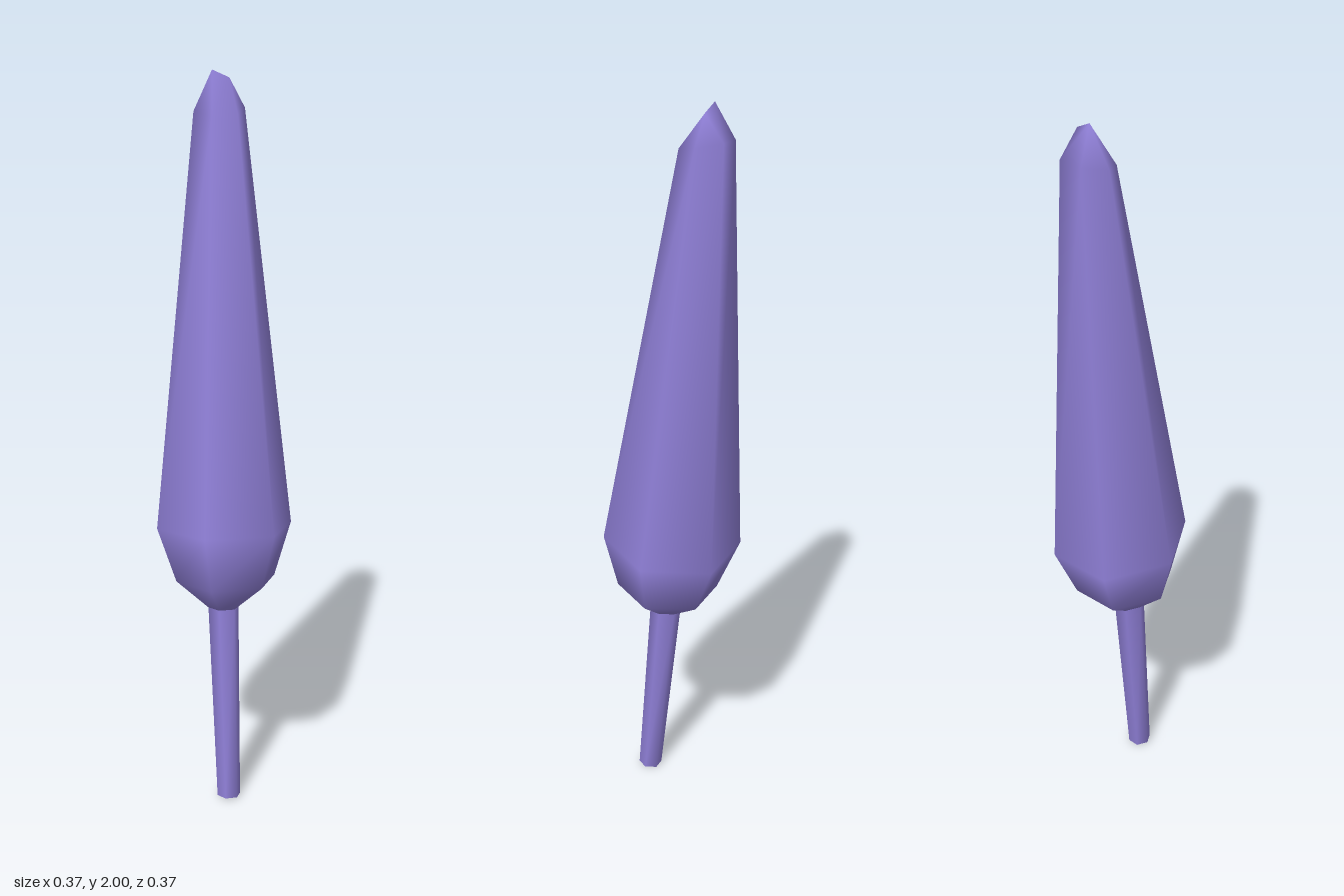
import * as THREE from 'three';
import { mergeVertices } from 'three/addons/utils/BufferGeometryUtils.js';

const SIDES = 6;
const START = -Math.PI / 12;

// Six-sided ring around (x, y, z); tilt raises y with distance in z
function ring(x, y, z, r, tilt = 0) {
  return Array.from({ length: SIDES }, (_, j) => {
    const a = START + (j * Math.PI * 2) / SIDES;
    const dz = r * Math.sin(a);
    return new THREE.Vector3(x + r * Math.cos(a), y + tilt * dz, z + dz);
  });
}

// Skin between successive rings, skipping collapsed triangles, with smooth normals
function loft(rings) {
  const pos = [];
  const tri = (a, b, c) => {
    if (a.equals(b) || b.equals(c) || a.equals(c)) return;
    for (const p of [a, b, c]) pos.push(p.x, p.y, p.z);
  };
  for (let i = 0; i < rings.length - 1; i++) {
    for (let j = 0; j < SIDES; j++) {
      const k = (j + 1) % SIDES;
      const [lo, hi] = [rings[i], rings[i + 1]];
      tri(lo[j], hi[j], lo[k]);
      tri(lo[k], hi[j], hi[k]);
    }
  }
  const g = new THREE.BufferGeometry();
  g.setAttribute('position', new THREE.Float32BufferAttribute(pos, 3));
  const merged = mergeVertices(g);
  merged.computeVertexNormals();
  return merged;
}

export function createModel() {
  const group = new THREE.Group();
  const material = new THREE.MeshStandardMaterial({ color: 0x9080d8 });
  const add = (name, geometry) => {
    const mesh = new THREE.Mesh(geometry, material);
    mesh.name = name;
    group.add(mesh);
  };

  const foot = ring(0.013, 0.003, 0.077, 0.033, 0.08);
  const neck = ring(-0.003, 0.56, 0.028, 0.043, 0.1);

  // Slender leaning stem with a flat end
  add('stem', loft([foot, neck]));
  const centre = new THREE.Vector3(0.013, 0.003, 0.077);
  add('stemEnd', loft([foot.map(() => centre), foot]));

  // Tapered crown closing in a short ridge
  const left = new THREE.Vector3(0.01, 1.98, -0.112);
  const right = new THREE.Vector3(-0.035, 2, -0.105);
  add('crown', loft([
    neck,
    ring(0.003, 0.64, 0.015, 0.14, 0.08),
    ring(0, 0.79, 0, 0.19, 0.11),
    ring(-0.016, 1.9, -0.098, 0.069, -0.2),
    [left, left, right, right, right, left],
  ]));
  return group;
}
